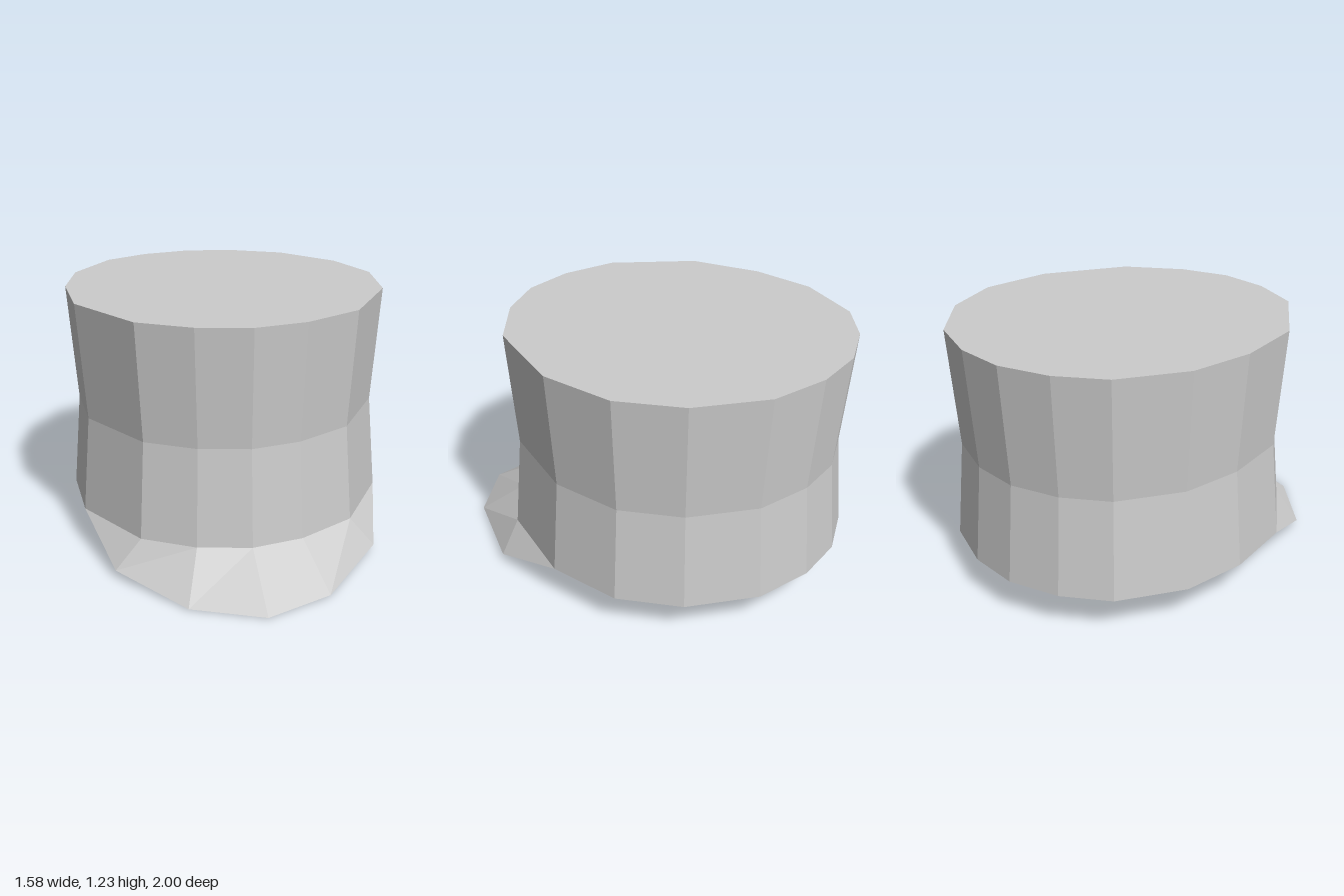
import * as THREE from 'three';

const material = new THREE.MeshStandardMaterial({
  color: 0xcccccc, flatShading: true, side: THREE.DoubleSide,
});

// Head outline as [x, z], clockwise from the back when seen from above
const outline = [
  [-0.05, -1], [0.2, -0.96], [0.46, -0.83], [0.69, -0.55],
  [0.785, -0.24], [0.73, 0.12], [0.48, 0.5], [0.2, 0.65],
  [-0.05, 0.695], [-0.3, 0.64], [-0.54, 0.5], [-0.77, 0.12],
  [-0.79, -0.24], [-0.72, -0.55], [-0.52, -0.83], [-0.3, -0.95],
];
const rimY = 0.185, waistY = 0.655, topY = 1.227;

// One outline ring at height y, scaled about the hat's axis
const ring = (y, s) => outline.map(([x, z]) => [x * s, y, -0.15 + (z + 0.15) * s]);

function facetMesh(name, triangles) {
  const geometry = new THREE.BufferGeometry();
  geometry.setAttribute('position', new THREE.Float32BufferAttribute(triangles.flat(2), 3));
  geometry.computeVertexNormals();
  const mesh = new THREE.Mesh(geometry, material);
  mesh.name = name;
  return mesh;
}

export function createModel() {
  const hat = new THREE.Group();
  hat.name = 'cap';
  const rings = [ring(rimY, 1), ring(waistY, 0.948), ring(topY, 1)];
  const n = outline.length;

  // Waisted side wall, open underneath
  const wall = [];
  for (let r = 0; r < 2; r++) {
    for (let i = 0; i < n; i++) {
      const j = (i + 1) % n;
      const a = rings[r][i], b = rings[r][j], c = rings[r + 1][i], d = rings[r + 1][j];
      wall.push([a, c, b], [b, c, d]);
    }
  }
  hat.add(facetMesh('crownWall', wall));

  // Flat crown
  const crown = [];
  const centre = [0, topY, -0.15];
  for (let i = 0; i < n; i++) crown.push([centre, rings[2][(i + 1) % n], rings[2][i]]);
  hat.add(facetMesh('crownTop', crown));

  // Sloping visor between the front of the rim and its own outer edge
  const p = rings[0].slice(5, 12); // left to right along the rim
  const q = [
    [0.6, 0.04, 0.52], [0.27, 0.005, 0.88], [-0.05, 0, 1],
    [-0.38, 0.005, 0.865], [-0.665, 0.04, 0.515],
  ];
  hat.add(facetMesh('visor', [
    [p[0], p[1], q[0]], [p[1], q[1], q[0]], [p[1], p[2], q[1]],
    [p[2], q[2], q[1]], [p[2], p[3], q[2]], [p[3], q[3], q[2]],
    [p[3], p[4], q[3]], [p[4], q[4], q[3]], [p[4], p[5], q[4]],
    [p[5], p[6], q[4]],
  ]));
  return hat;
}
